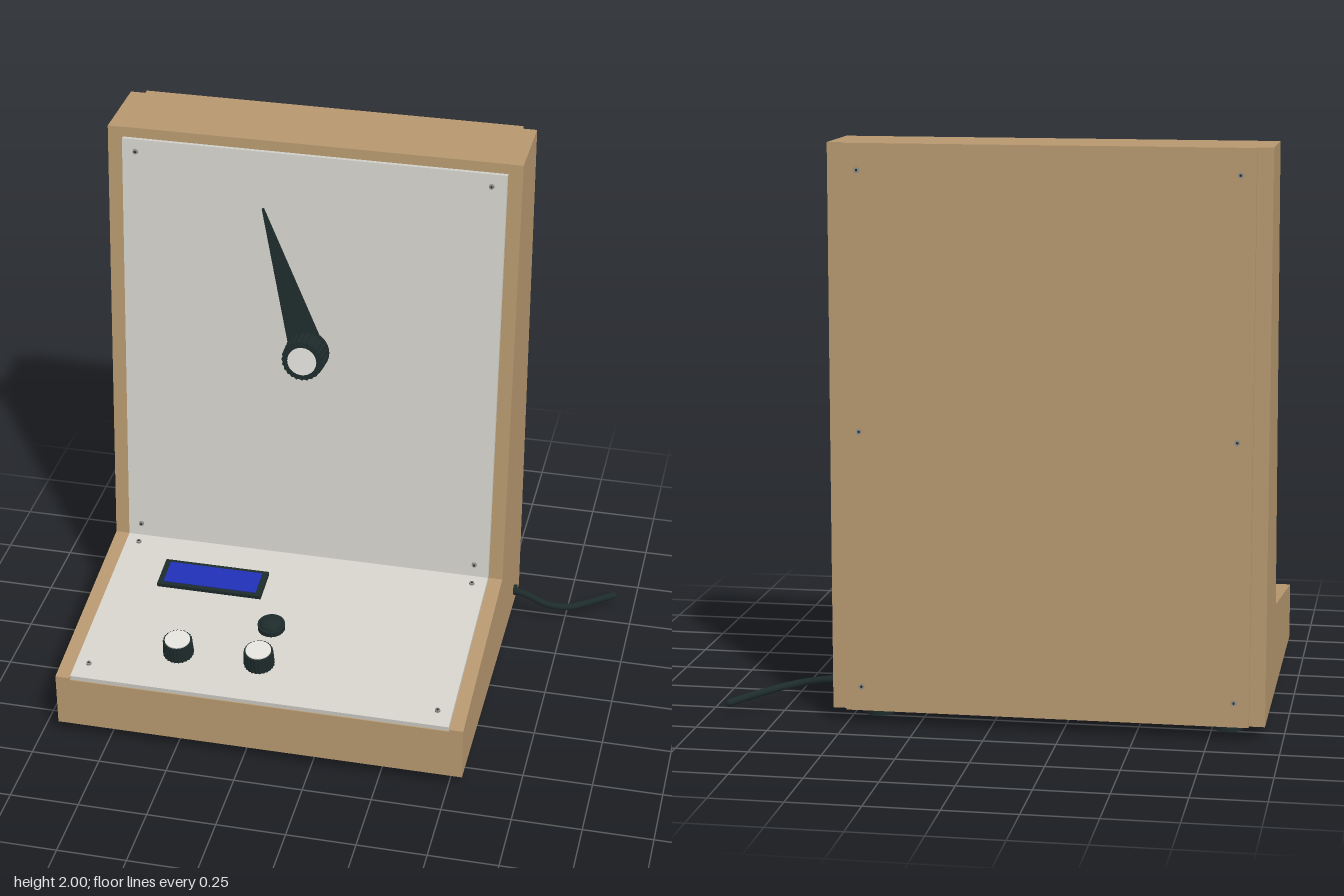
import * as THREE from 'three';

const mat = (name, color, extra = {}) => {
  const m = new THREE.MeshStandardMaterial({ color, ...extra });
  m.name = name;
  return m;
};

export function createModel() {
  const wood = mat('wood', 0xb6986f);
  const panel = mat('panel grey', 0xd3d1ca);
  const dark = mat('dark plastic', 0x1e2b2b);
  const darkFlat = mat('dark knurled plastic', 0x1e2b2b, { flatShading: true });
  const blue = mat('screen blue', 0x2030b4);
  const cap = mat('cap white', 0xe2e1dc);
  const steel = mat('screw steel', 0x8c8c88);

  const root = new THREE.Group();
  root.name = 'instrumentConsole';

  const add = (parent, name, geo, material, x = 0, y = 0, z = 0) => {
    const m = new THREE.Mesh(geo, material);
    m.name = name;
    m.position.set(x, y, z);
    parent.add(m);
    return m;
  };
  const box = (w, h, d) => new THREE.BoxGeometry(w, h, d);
  const cyl = (rt, rb, h, n = 32) => new THREE.CylinderGeometry(rt, rb, h, n);

  // Cabinet slices: side outline [z, y] extruded along x
  const slice = (name, pts, x0, x1) => {
    const s = new THREE.Shape(pts.map(([z, y]) => new THREE.Vector2(-z, y)));
    const g = new THREE.ExtrudeGeometry(s, { depth: x1 - x0, bevelEnabled: false });
    g.rotateY(Math.PI / 2);
    add(root, name, g, wood, x0);
  };
  const outline = [[0.62, 0.05], [0.62, 0.253], [-0.165, 0.368], [-0.31, 2], [-0.603, 2], [-0.603, 0.05]];
  const inner = [[0.62, 0.05], [0.62, 0.245], [-0.168, 0.36], [-0.312, 2], [-0.603, 2], [-0.603, 0.05]];
  slice('rightSide', outline, -0.94, -0.888);
  slice('leftSide', outline, 0.5, 0.55);
  slice('cabinetCore', inner, -0.888, 0.5);
  add(root, 'backBoard', box(1.385, 1.95, 0.022), wood, -0.194, 1.025, -0.612);

  // Sloped frames for the two face panels, both hinged at the inside corner
  const upper = new THREE.Group();
  upper.name = 'dialFace';
  upper.position.set(0, 0.37, -0.165);
  upper.rotation.x = -Math.atan(0.145 / 1.63);
  const lower = new THREE.Group();
  lower.name = 'controlFace';
  lower.position.set(0, 0.37, -0.165);
  lower.rotation.x = Math.atan(0.115 / 0.785);
  root.add(upper, lower);

  add(upper, 'dialPanel', box(1.382, 1.594, 0.018), panel, -0.193, 0.803, 0.006);
  add(lower, 'controlPanel', box(1.382, 0.018, 0.79), panel, -0.193, 0, 0.397);

  // Screws, axis along y (upright) or z
  const screw = (parent, x, y, z, alongZ) => {
    const s = add(parent, 'screw', cyl(0.009, 0.01, 0.008, 12), steel, x, y, z);
    if (alongZ) s.rotation.x = Math.PI / 2;
    add(s, 'screwSocket', cyl(0.0045, 0.0045, 0.009, 6), dark);
  };
  for (const x of [-0.835, 0.445]) {
    for (const y of [0.055, 1.555]) screw(upper, x, y, 0.018, true);
    for (const z of [0.055, 0.72]) screw(lower, x, 0.012, z, false);
    for (const y of [0.135, 1.025, 1.91]) screw(root, x, y, -0.624, true);
  }

  // Knurled knob with a pale cap, axis along y, base at the origin
  const knob = (parent, name, r, h, capR) => {
    const k = new THREE.Group();
    k.name = name;
    const g = cyl(r * 0.95, r, h, 48);
    const p = g.attributes.position;
    for (let i = 0; i < p.count; i++) {
      const x = p.getX(i), z = p.getZ(i);
      const tooth = Math.round(Math.atan2(z, x) / (Math.PI / 24));
      const f = tooth % 2 === 0 ? 1 : 0.94;
      p.setX(i, x * f);
      p.setZ(i, z * f);
    }
    g.computeVertexNormals();
    add(k, 'knobGrip', g, darkFlat, 0, h / 2);
    add(k, 'knobCap', cyl(capR, capR, 0.004), cap, 0, h + 0.002);
    parent.add(k);
    return k;
  };

  // Dial pointer: tapered plate with a round hub
  const hub = new THREE.Group();
  hub.name = 'dialPointer';
  hub.position.set(-0.195, 0.86, 0);
  upper.add(hub);
  const R = 0.066, L = 0.562, a = Math.acos(R / L);
  const shape = new THREE.Shape();
  shape.absarc(0, 0, R, Math.PI / 2 + a, Math.PI * 2.5 - a, false);
  shape.lineTo(0.003, L);
  shape.lineTo(-0.003, L);
  const needle = new THREE.ExtrudeGeometry(shape, { depth: 0.01, bevelEnabled: false, curveSegments: 24 });
  add(hub, 'needle', needle, dark, 0, 0, 0.032).rotation.z = Math.atan2(0.17, 0.54);
  add(hub, 'hubDisc', cyl(0.08, 0.08, 0.01), dark, 0, 0, 0.038).rotation.x = Math.PI / 2;
  add(hub, 'shaft', cyl(0.02, 0.02, 0.05, 16), dark, 0, 0, 0.03).rotation.x = Math.PI / 2;
  const dialKnob = knob(hub, 'dialKnob', 0.08, 0.075, 0.053);
  dialKnob.position.z = 0.05;
  dialKnob.rotation.x = Math.PI / 2;

  // Control knobs, push button and display
  for (const x of [-0.53, -0.23]) {
    knob(lower, 'controlKnob', 0.056, 0.064, 0.046).position.set(x, 0.01, 0.606);
  }
  add(lower, 'buttonCollar', cyl(0.05, 0.05, 0.022), dark, -0.23, 0.019, 0.418);
  const dome = add(lower, 'buttonDome',
    new THREE.SphereGeometry(0.042, 24, 10, 0, Math.PI * 2, 0, Math.PI / 2), dark, -0.23, 0.03, 0.418);
  dome.scale.y = 0.5;
  add(lower, 'displayFrame', box(0.395, 0.016, 0.135), dark, -0.503, 0.016, 0.212);
  add(lower, 'displayScreen', box(0.352, 0.004, 0.105), blue, -0.503, 0.025, 0.212);

  // Feet
  for (const x of [-0.805, 0.415]) {
    for (const z of [0.485, -0.465]) add(root, 'foot', cyl(0.052, 0.05, 0.05), dark, x, 0.025, z);
  }

  // Power cable
  const path = new THREE.CatmullRomCurve3([
    [0.53, 0.12, -0.468], [0.6, 0.108, -0.458], [0.69, 0.088, -0.437],
    [0.77, 0.073, -0.462], [0.84, 0.063, -0.525], [0.92, 0.05, -0.607],
  ].map((p) => new THREE.Vector3(...p)));
  add(root, 'cable', new THREE.TubeGeometry(path, 40, 0.013, 12), dark);
  add(root, 'cableEnd', new THREE.SphereGeometry(0.013, 12, 8), dark, 0.92, 0.05, -0.607);
  add(root, 'cableGrommet', cyl(0.02, 0.02, 0.02, 20), dark, 0.552, 0.117, -0.466).rotation.z = Math.PI / 2;

  return root;
}
